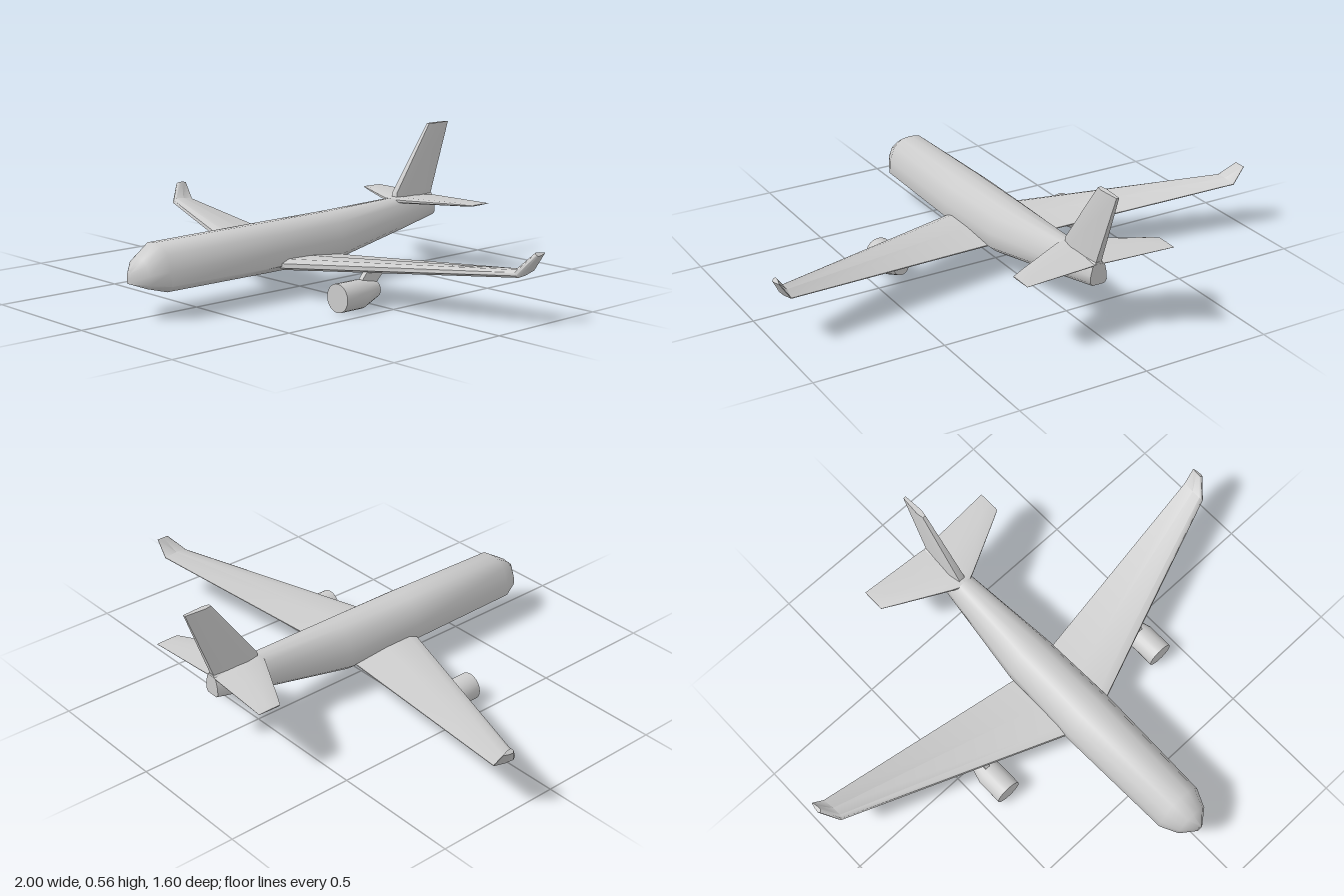
import * as THREE from 'three';
import { toCreasedNormals } from 'three/addons/utils/BufferGeometryUtils.js';

const paint = new THREE.MeshStandardMaterial({ color: 0xcccccc });
paint.name = 'light grey';

// Joins equal-sized rings of [x, y, z] points into a closed, capped solid.
function loft(rings, crease = 0.8) {
  const n = rings[0].length;
  const pos = rings.flat(2);
  let idx = [];
  for (let r = 0; r < rings.length - 1; r++) {
    for (let i = 0; i < n; i++) {
      const j = (i + 1) % n, a = r * n, b = a + n;
      idx.push(a + i, a + j, b + j, a + i, b + j, b + i);
    }
  }
  const cap = (start, flip) => {
    const ring = rings[start / n];
    const c = pos.length / 3;
    for (let k = 0; k < 3; k++) pos.push(ring.reduce((s, p) => s + p[k], 0) / n);
    for (let i = 0; i < n; i++) {
      const a = start + i, b = start + (i + 1) % n;
      idx.push(c, flip ? b : a, flip ? a : b);
    }
  };
  cap(0, true);
  cap((rings.length - 1) * n, false);

  // Signed volume tells whether the faces point outwards
  const v = (i) => new THREE.Vector3().fromArray(pos, i * 3);
  let volume = 0;
  for (let t = 0; t < idx.length; t += 3) volume += v(idx[t]).dot(v(idx[t + 1]).cross(v(idx[t + 2])));
  if (volume < 0) idx.reverse();

  const geo = new THREE.BufferGeometry();
  geo.setAttribute('position', new THREE.Float32BufferAttribute(pos, 3));
  geo.setIndex(idx);
  return toCreasedNormals(geo, crease);
}

// Airfoil outline: [chord fraction from the leading edge, offset in half thicknesses]
const AIRFOIL = [[0, -0.4], [0, 0.4], [0.12, 1], [0.5, 0.85], [1, 0.1], [1, -0.1], [0.5, -0.8], [0.12, -1]];

// Ring of a flying surface, thickened along a direction tilted in the xy plane.
function foil(x, y, lead, trail, thick, tilt = 0) {
  return AIRFOIL.map(([c, t]) => [
    x - Math.sin(tilt) * t * thick / 2,
    y + Math.cos(tilt) * t * thick / 2,
    lead + (trail - lead) * c,
  ]);
}

const mirror = (rings, s) => rings.map((ring) => ring.map(([x, y, z]) => [x * s, y, z]));

export function createModel() {
  const model = new THREE.Group();
  model.name = 'airliner';
  const add = (name, geo) => {
    const mesh = new THREE.Mesh(geo, paint);
    mesh.name = name;
    model.add(mesh);
    return mesh;
  };

  // Fuselage: flat belly, sides leaning in towards a rounded roof
  const stations = [ // z, half width, bottom, top
    [0.797, 0.012, 0.13, 0.18],
    [0.755, 0.066, 0.114, 0.218],
    [0.685, 0.098, 0.096, 0.262],
    [0.2, 0.11, 0.098, 0.267],
    [-0.13, 0.1, 0.099, 0.271],
    [-0.5, 0.058, 0.16, 0.282],
    [-0.7, 0.034, 0.195, 0.282],
  ];
  const half = [[0.72, 0], [1, 0.14], [0.97, 0.45], [0.75, 0.8], [0.4, 0.97]];
  add('fuselage', loft(stations.map(([z, w, b, t]) => {
    const at = (s) => ([u, v]) => [s * u * w, b + v * (t - b), z];
    return [[0, b, z], ...half.map(at(1)), [0, t, z], ...half.map(at(-1)).reverse()];
  }), 0.95));

  // Tail fin
  const finRing = (y, lead, trail, w) => [
    [-w * 0.6, y, lead], [w * 0.6, y, lead],
    [w, y, lead + (trail - lead) * 0.25], [w * 0.5, y, trail],
    [-w * 0.5, y, trail], [-w, y, lead + (trail - lead) * 0.25],
  ];
  add('tailFin', loft([
    finRing(0.255, -0.5, -0.69, 0.024),
    finRing(0.3, -0.505, -0.705, 0.022),
    finRing(0.56, -0.69, -0.8, 0.011),
  ]));

  for (const [side, s] of [['left', 1], ['right', -1]]) {
    // Main wing with upturned tip
    add(side + 'Wing', loft(mirror([
      foil(0.04, 0.12, 0.21, -0.105, 0.044),
      foil(0.11, 0.123, 0.185, -0.113, 0.042),
      foil(0.948, 0.183, -0.135, -0.235, 0.03, 0.5),
      foil(0.992, 0.25, -0.19, -0.237, 0.018, 0.9),
    ], s), 0.9));

    // Tailplane
    add(side + 'Tailplane', loft(mirror([
      foil(0, 0.272, -0.475, -0.7, 0.026),
      foil(0.055, 0.272, -0.5, -0.705, 0.022),
      foil(0.25, 0.272, -0.602, -0.718, 0.012),
      foil(0.302, 0.272, -0.63, -0.722, 0.004),
    ], s), 0.9));

    // Engine nacelle: straight drum, then a tapering exhaust
    const nacelle = [[0.186, 0.053, 0.053], [0.08, 0.053, 0.053], [0, 0.03, 0.06]];
    add(side + 'Engine', loft(nacelle.map(([z, r, y]) =>
      Array.from({ length: 20 }, (_, i) => {
        const a = i / 20 * Math.PI * 2;
        return [s * 0.405 + Math.cos(a) * r, y + Math.sin(a) * r, z];
      })), 0.6));

    // Pylon under the wing
    const outline = [[0.08, 0.09], [0.07, 0.107], [0.04, 0.14], [-0.05, 0.14], [-0.03, 0.118], [0, 0.088], [0, 0.07]];
    add(side + 'Pylon', loft([-0.01, 0.01].map((dx) =>
      outline.map(([z, y]) => [s * 0.405 + dx, y, z])), 0.5));
  }
  return model;
}
